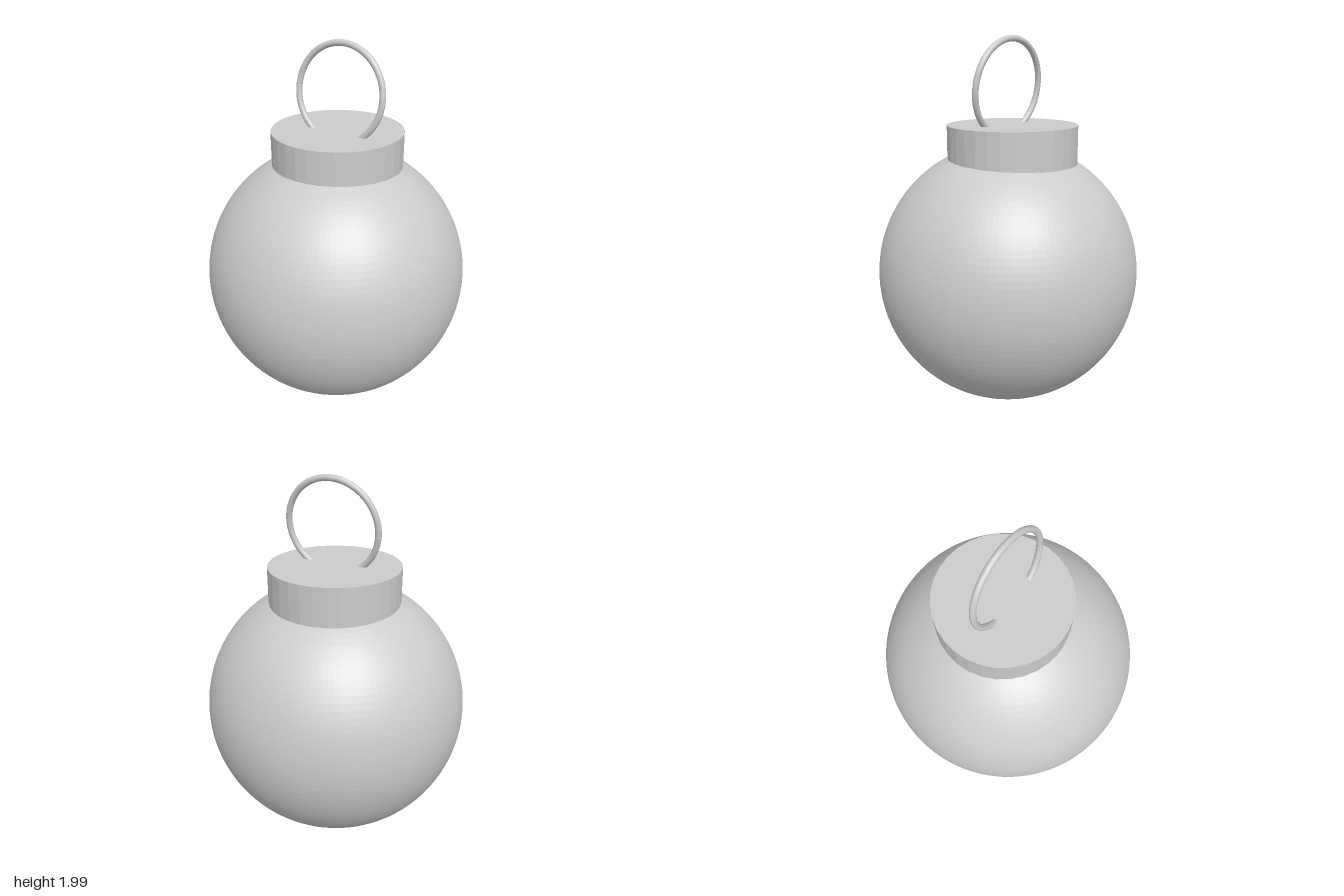
import * as THREE from 'three';

export function createModel() {
  const model = new THREE.Group();
  const smooth = new THREE.MeshStandardMaterial({ color: 0xcccccc });
  const faceted = new THREE.MeshStandardMaterial({ color: 0xcccccc, flatShading: true });

  const addPart = (name, geometry, material, x, y, z) => {
    const mesh = new THREE.Mesh(geometry, material);
    mesh.name = name;
    mesh.position.set(x, y, z);
    model.add(mesh);
    return mesh;
  };

  // Round bauble body, finely faceted
  addPart('ball', new THREE.SphereGeometry(0.717, 128, 64), faceted, 0, 0.724, 0);

  // Slightly off-centre cap, sunk into the ball
  const capTop = 1.54, capHeight = 0.27;
  addPart('cap', new THREE.CylinderGeometry(0.351, 0.351, capHeight, 32), faceted,
    -0.008, capTop - capHeight / 2, -0.025);

  // Hanging ring, leaning back and turned a little, its lower part inside the cap
  const ring = addPart('hangingRing', new THREE.TorusGeometry(0.251, 0.0165, 16, 96), smooth,
    0.012, 1.734, -0.013);
  ring.rotation.set(-0.125, 0.055, 0, 'YXZ');

  return model;
}
